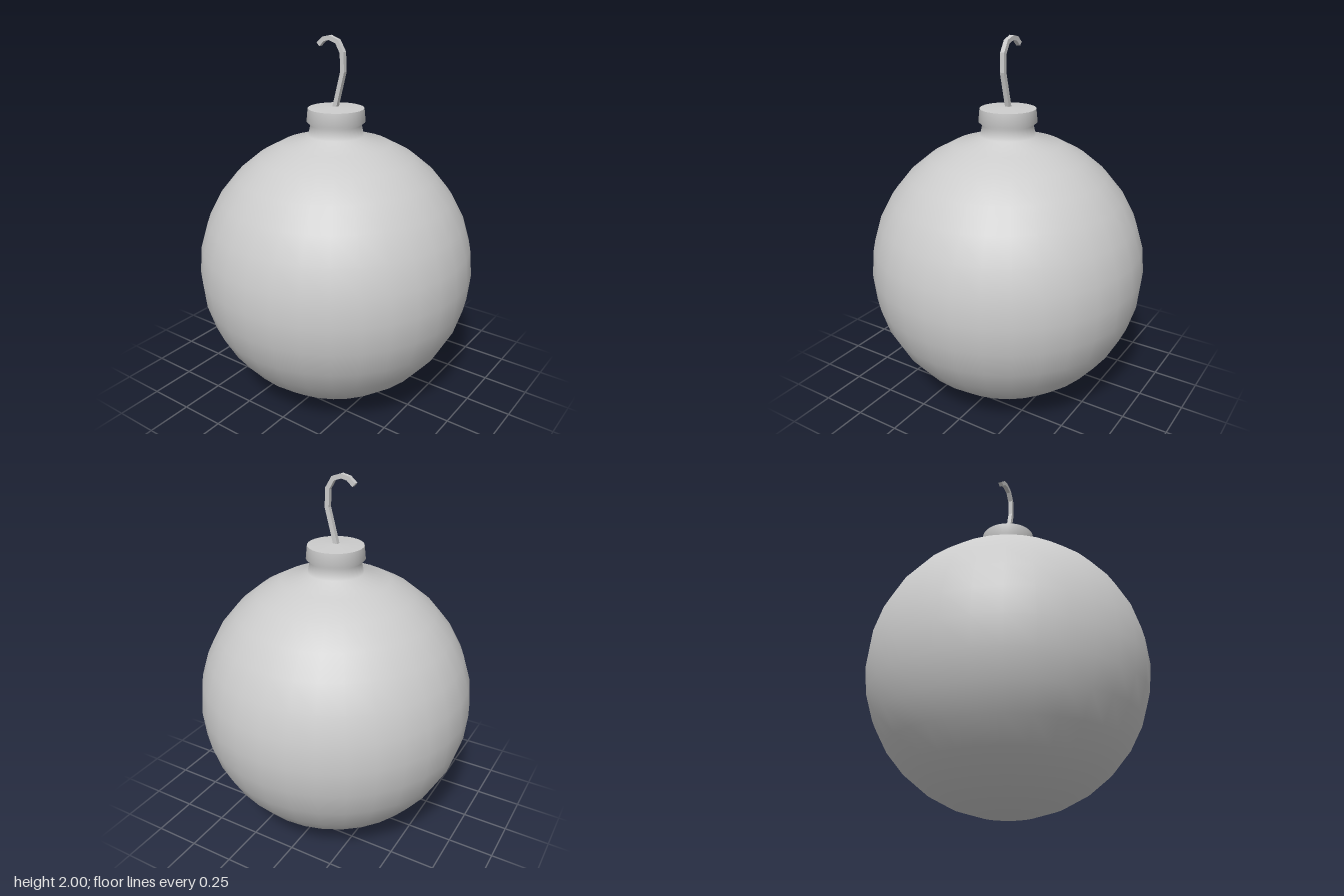
import * as THREE from 'three';

const SEGMENTS = 32;

export function createModel() {
  const model = new THREE.Group();
  const material = new THREE.MeshStandardMaterial({ color: 0xcccccc, side: THREE.DoubleSide });
  const add = (name, geometry) => {
    const mesh = new THREE.Mesh(geometry, material);
    mesh.name = name;
    model.add(mesh);
  };

  // Ball flowing smoothly into the neck and the collar of the cap
  const radius = 0.753;
  const profile = [];
  for (let i = 0; i <= 15; i++) {
    const a = (i / 16) * Math.PI;
    profile.push(new THREE.Vector2(radius * Math.sin(a), 0.755 - radius * Math.cos(a)));
  }
  for (const [r, y] of [[0.135, 1.55], [0.155, 1.567], [0.148, 1.636]]) {
    profile.push(new THREE.Vector2(r, y));
  }
  add('ballAndNeck', new THREE.LatheGeometry(profile, SEGMENTS));

  // Slightly domed lid, with a sharp edge against the collar
  const lid = [new THREE.Vector2(0.148, 1.636), new THREE.Vector2(0, 1.645)];
  add('capTop', new THREE.LatheGeometry(lid, SEGMENTS));

  // Bent wire hook of square section: offset the centre line (z, y), then extrude across x
  const width = 0.024;
  const path = [
    [-0.006, 1.63], [0.046, 1.825], [0.042, 1.92], [0.011, 1.972],
    [-0.036, 1.988], [-0.073, 1.98], [-0.106, 1.951],
  ].map(([z, y]) => new THREE.Vector2(z, y));
  const sides = [[], []];
  path.forEach((p, i) => {
    const before = p.clone().sub(path[Math.max(i - 1, 0)]).normalize();
    const after = path[Math.min(i + 1, path.length - 1)].clone().sub(p).normalize();
    const along = before.add(after).normalize();
    const across = new THREE.Vector2(-along.y, along.x).multiplyScalar(width / 2);
    sides[0].push(p.clone().add(across));
    sides[1].unshift(p.clone().sub(across));
  });
  const hook = new THREE.ExtrudeGeometry(new THREE.Shape([...sides[0], ...sides[1]]), {
    depth: width, bevelEnabled: false,
  });
  hook.translate(0, 0, -width / 2).rotateY(-Math.PI / 2);
  add('hook', hook);

  return model;
}
